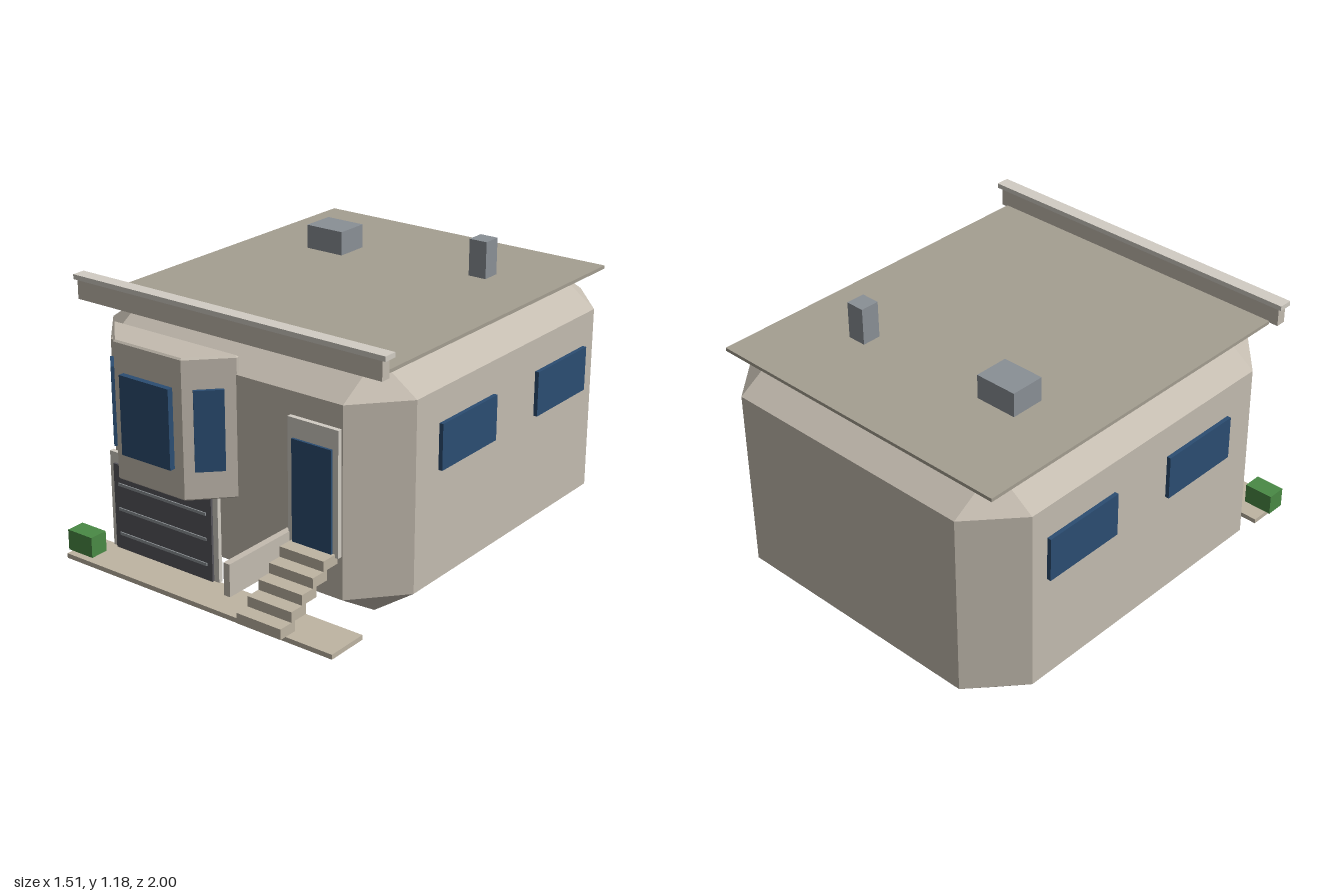
import * as THREE from 'three';
import { ConvexGeometry } from 'three/addons/geometries/ConvexGeometry.js';

const material = (color) => new THREE.MeshStandardMaterial({ color, flatShading: true });
const WALL = material(0xc4bcb0), TRIM = material(0xd2cdc4), ROOF = material(0xa59f91);
const STONE = material(0xbfb5a3), GLASS = material(0x2b4d72), PANEL = material(0x57565c);
const SLAT = material(0x8d9296), VENT = material(0x8a9096), LEAF = material(0x4a8a45);

export function createModel() {
  const house = new THREE.Group();
  house.name = 'house';

  const add = (name, geometry, mat) => {
    const mesh = new THREE.Mesh(geometry, mat);
    mesh.name = name;
    house.add(mesh);
    return mesh;
  };
  // Box given by its extents on each axis
  const box = (name, mat, [x0, x1], [y0, y1], [z0, z1]) => {
    const mesh = add(name, new THREE.BoxGeometry(x1 - x0, y1 - y0, z1 - z0), mat);
    mesh.position.set((x0 + x1) / 2, (y0 + y1) / 2, (z0 + z1) / 2);
    return mesh;
  };

  // Body: a block with broad chamfers on every edge
  const midZ = -0.18, points = [];
  for (const sx of [-1, 1]) for (const sz of [-1, 1]) {
    const at = (x, y, z) => points.push(new THREE.Vector3(sx * x, y, midZ + sz * z));
    for (const y of [0, 1.02]) at(0.56, y, 0.62);
    for (const y of [0.125, 0.895]) {
      at(0.738, y, 0.62);
      at(0.56, y, 0.82);
    }
  }
  add('body', new ConvexGeometry(points), WALL);

  // Flat roof, parapet and roof boxes
  box('roof', ROOF, [-0.692, 0.692], [1.018, 1.032], [-0.95, 0.59]);
  box('parapet', WALL, [-0.728, 0.726], [1.022, 1.1], [0.595, 0.637]);
  box('parapetCap', TRIM, [-0.745, 0.743], [1.1, 1.12], [0.585, 0.642]);
  box('roofVent', VENT, [-0.418, -0.238], [1.03, 1.132], [-0.55, -0.405]);
  box('chimney', VENT, [0.326, 0.406], [1.03, 1.185], [-0.583, -0.503]);

  // Bay window: trapezoid plan with a fine bevel
  const bayX = -0.238;
  const plan = new THREE.Shape([
    [-0.31, 0.625], [0.31, 0.625], [0.31, 0.638], [0.168, 0.785], [-0.168, 0.785], [-0.31, 0.638],
  ].map(([x, z]) => new THREE.Vector2(x, z)));
  const bay = new THREE.ExtrudeGeometry(plan, {
    depth: 0.556, bevelThickness: 0.007, bevelSize: 0.007, bevelOffset: -0.007, bevelSegments: 1,
  });
  bay.rotateX(Math.PI / 2);
  add('bay', bay, WALL).position.set(bayX, 0.961, 0);
  box('bayFrontWindow', GLASS, [-0.36, -0.115], [0.52, 0.845], [0.78, 0.81]);
  for (const s of [-1, 1]) {
    const pane = add('baySideWindow', new THREE.BoxGeometry(0.115, 0.325, 0.02), GLASS);
    pane.position.set(bayX + s * 0.24, 0.682, 0.717);
    pane.rotation.y = s * Math.PI / 4;
  }

  // Windows along both side walls
  for (const s of [-1, 1]) for (const z of [0.115, -0.542]) {
    const pane = add('sideWindow', new THREE.BoxGeometry(0.025, 0.185, 0.362), GLASS);
    pane.position.set(s * 0.7425, 0.667, z);
  }

  // Garage door with horizontal slats
  box('garageFrame', TRIM, [-0.575, -0.02], [0.02, 0.43], [0.638, 0.658]);
  box('garageDoor', PANEL, [-0.55, -0.045], [0.02, 0.385], [0.645, 0.668]);
  for (const y of [0.088, 0.195, 0.302])
    box('garageSlat', SLAT, [-0.525, -0.07], [y - 0.006, y + 0.006], [0.66, 0.673]);

  // Entrance door, floating steps and side rail
  box('doorFrame', TRIM, [0.325, 0.555], [0.3, 0.803], [0.635, 0.66]);
  box('entranceDoor', GLASS, [0.35, 0.53], [0.305, 0.725], [0.645, 0.67]);
  for (let i = 0; i < 5; i++) {
    const y = 0.314 - i * 0.042, z = 0.73 + i * 0.062;
    box('step', STONE, [0.34, 0.542], [y - 0.042, y], [z - 0.083, z]);
  }
  box('stairRail', WALL, [0.302, 0.33], [0.215, 0.345], [0.64, 1]);

  // Pavement and planter
  box('pavement', STONE, [-0.665, 0.66], [0, 0.02], [0.65, 0.833]);
  box('planter', LEAF, [-0.685, -0.557], [0.02, 0.107], [0.722, 0.803]);

  return house;
}
